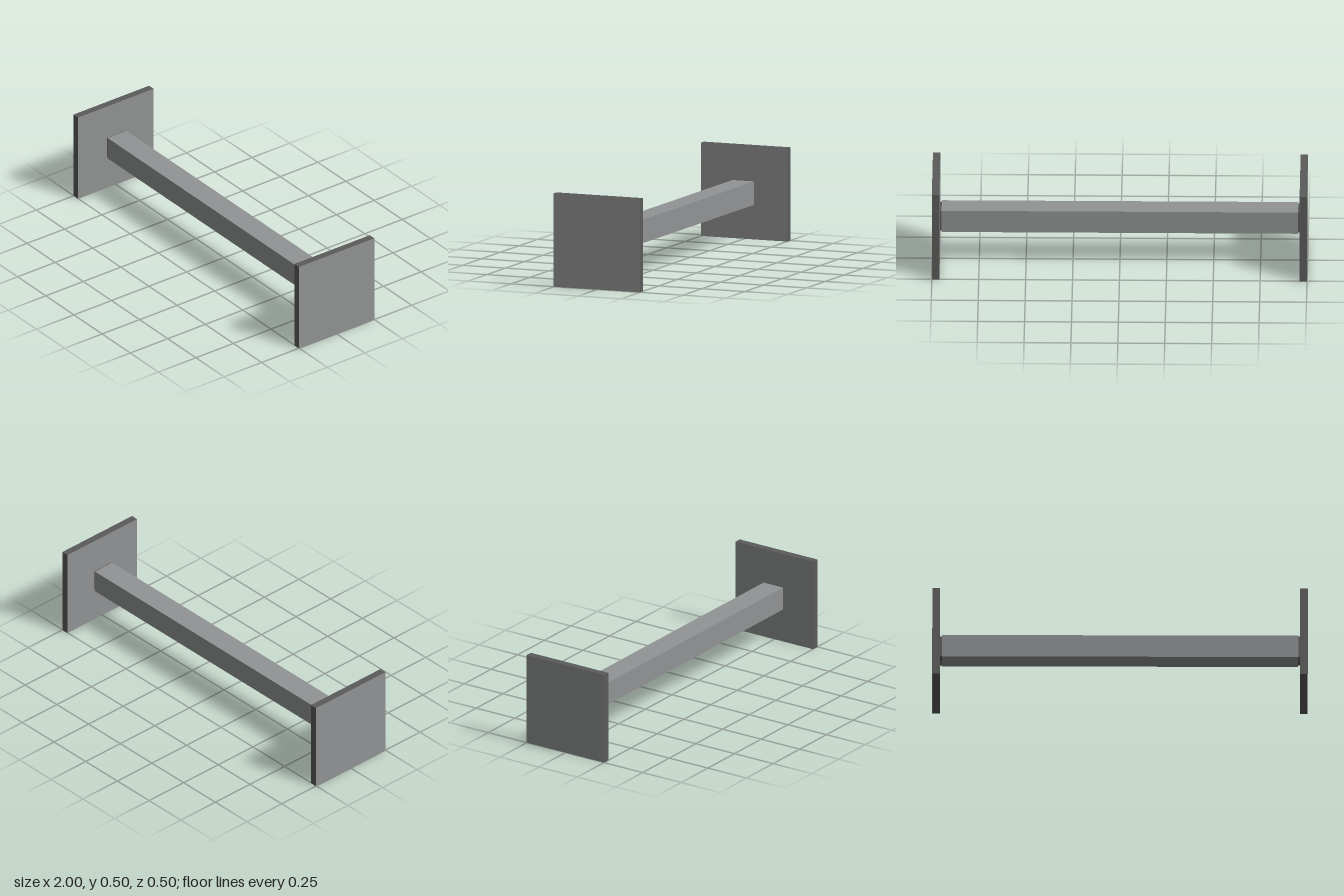
import * as THREE from 'three';

export function createModel() {
  const group = new THREE.Group();
  const steel = new THREE.MeshStandardMaterial({ color: 0x929394 });
  steel.name = 'light steel';
  const edge = new THREE.MeshStandardMaterial({ color: 0x5b5b5c });
  edge.name = 'dark edge';

  const plateSize = 0.503, plateThickness = 0.04;
  const beamSize = 0.126, beamLength = 1.9, neckSize = 0.116;
  const centreY = plateSize / 2;

  function addBox(name, w, h, d, x, material) {
    const mesh = new THREE.Mesh(new THREE.BoxGeometry(w, h, d), material);
    mesh.name = name;
    mesh.position.set(x, centreY, 0);
    group.add(mesh);
  }

  // Square bar between the plates
  addBox('beam', beamLength, beamSize, beamSize, 0, steel);

  for (const [side, s] of [['left', 1], ['right', -1]]) {
    // End plate: light broad faces, dark rim
    addBox(side + 'EndPlate', plateThickness, plateSize, plateSize,
      s * (1 - plateThickness / 2), [steel, steel, edge, edge, edge, edge]);
    // Narrow recessed joint between bar and plate
    const neckLength = 1 - plateThickness - beamLength / 2;
    addBox(side + 'Joint', neckLength, neckSize, neckSize,
      s * (beamLength / 2 + neckLength / 2), edge);
  }
  return group;
}
